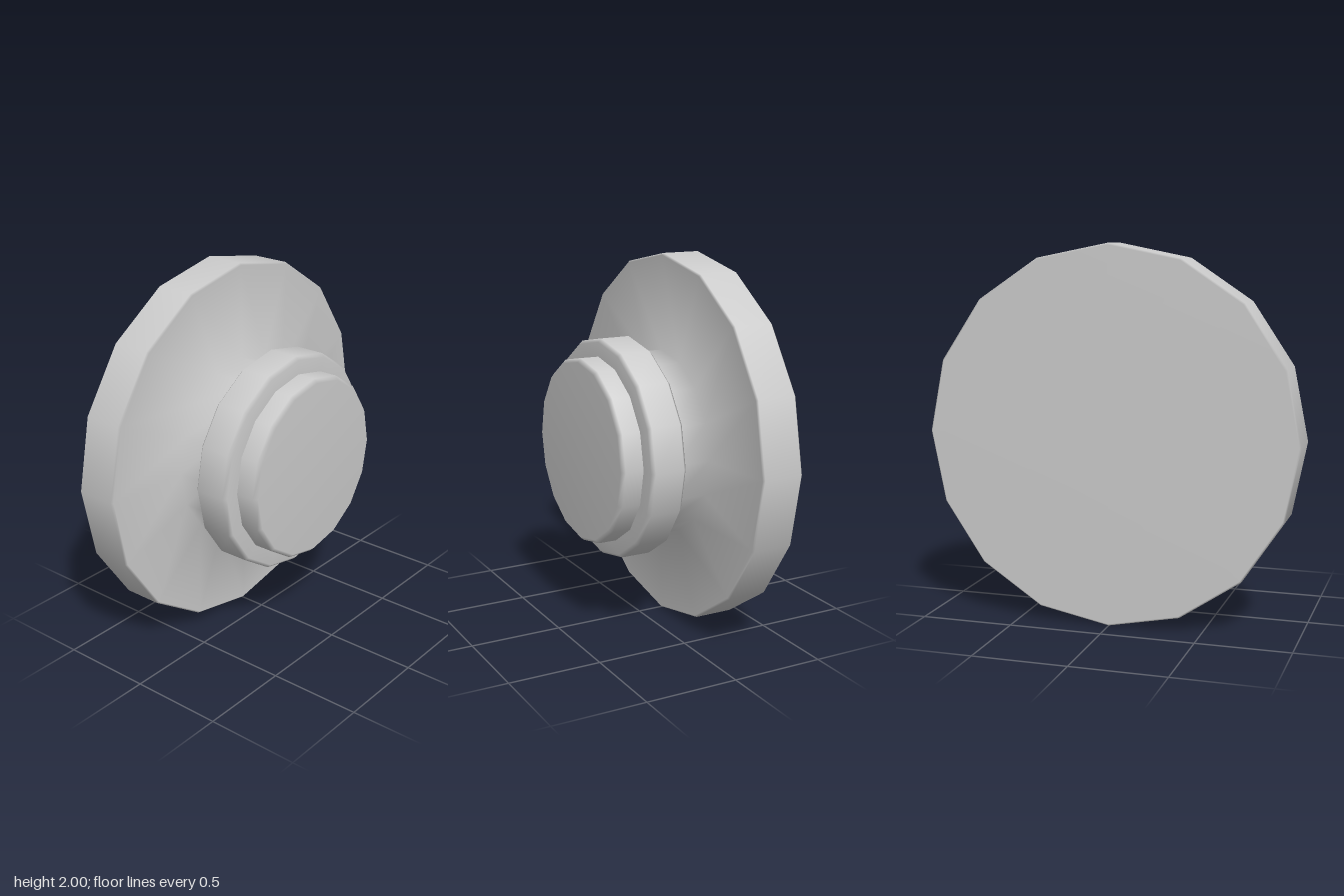
import * as THREE from 'three';

const material = new THREE.MeshStandardMaterial({ color: 0xcccccc });
const SIDES = 16;

// Turns a [radius, z] profile, listed back to front, around the z axis.
function turned(name, profile, y) {
  const points = profile.map(([r, z]) => new THREE.Vector2(r, z));
  const geometry = new THREE.LatheGeometry(points, SIDES);
  geometry.rotateX(Math.PI / 2);
  const mesh = new THREE.Mesh(geometry, material);
  mesh.name = name;
  mesh.position.y = y;
  return mesh;
}

export function createModel() {
  const group = new THREE.Group();
  group.name = 'knob';
  const stemY = 0.98;

  // Wide back plate blending into the neck
  const base = turned('backPlateAndNeck', [
    [0, -0.365], [0.99, -0.365], [1, -0.355], [1, -0.145], [0.99, -0.135],
    [0.503, -0.135], [0.503, 0.06],
  ], 1);
  // The neck sits slightly below the plate's centre
  const pos = base.geometry.attributes.position;
  for (let i = 0; i < pos.count; i++) {
    if (pos.getZ(i) > -0.14 && Math.hypot(pos.getX(i), pos.getY(i)) < 0.6) {
      pos.setY(i, pos.getY(i) + stemY - 1);
    }
  }
  group.add(base);

  // Raised collar around the stem
  group.add(turned('collar', [
    [0.45, 0.045], [0.572, 0.045], [0.593, 0.065],
    [0.593, 0.227], [0.575, 0.245], [0.45, 0.245],
  ], stemY));

  // Front cap with a bevelled rim
  group.add(turned('frontCap', [
    [0.498, 0.235], [0.498, 0.345], [0.478, 0.365], [0, 0.365],
  ], stemY));

  return group;
}
